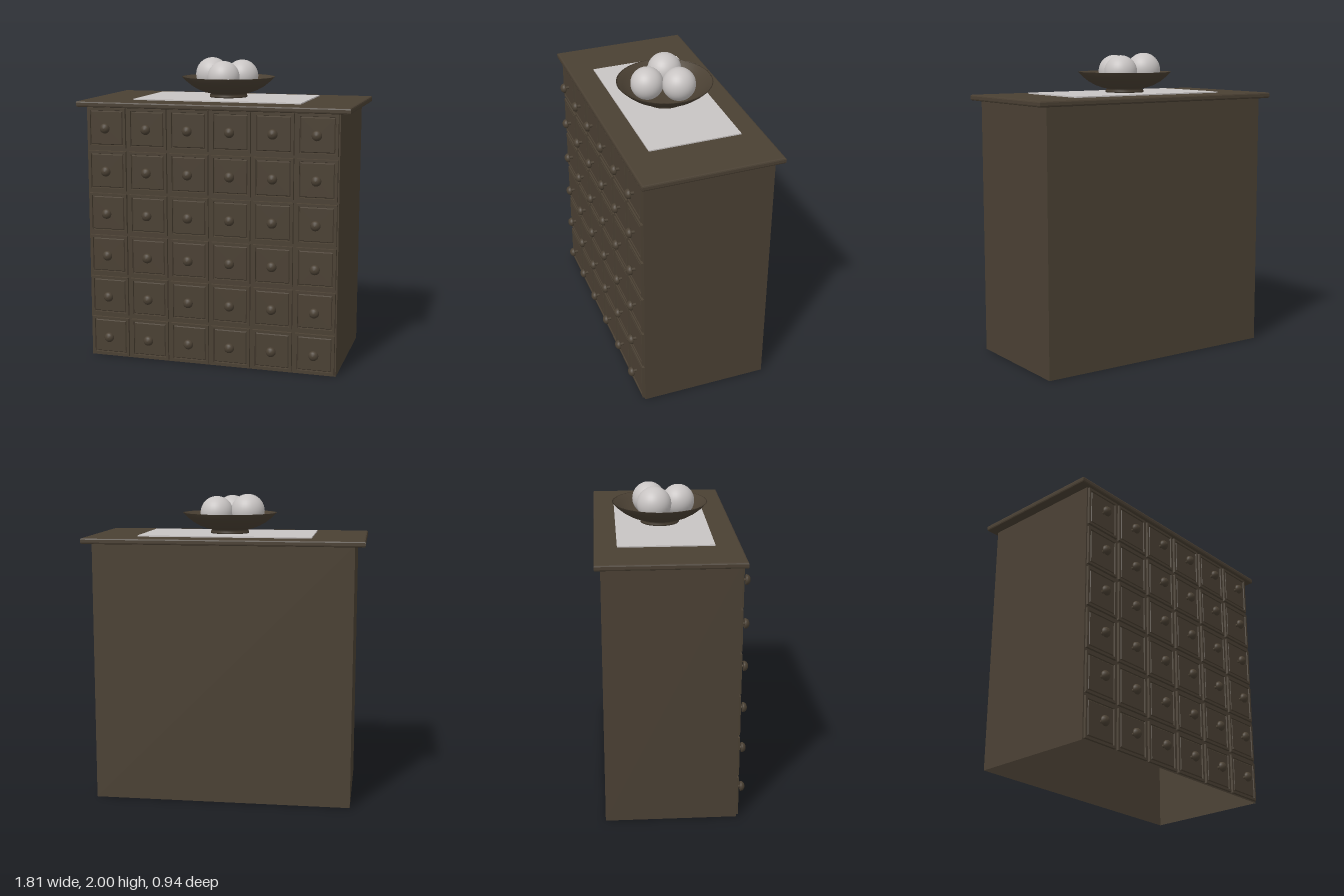
import * as THREE from 'three';

const wood = new THREE.MeshStandardMaterial({ color: 0x4a4033, side: THREE.DoubleSide });
wood.name = 'dark wood';
const white = new THREE.MeshStandardMaterial({ color: 0xc8c4c3 });
white.name = 'off white';

const W = 1.68, H = 1.7, BACK = -0.435, FRONT = 0.402, N = 6;

function add(parent, name, geometry, material, x = 0, y = 0, z = 0) {
  const mesh = new THREE.Mesh(geometry, material);
  mesh.name = name;
  mesh.position.set(x, y, z);
  parent.add(mesh);
  return mesh;
}

const points = (list) => list.map(([r, y]) => new THREE.Vector2(r, y));

// Square stepped drawer front: a four-sided lathe of [half width, z] pairs
function drawerFrontGeometry() {
  const profile = [[0.14, 0], [0.131, 0], [0.129, 0.014], [0.114, 0.014],
    [0.112, 0.005], [0.109, 0.005], [0.104, 0.012], [0, 0.012]];
  const lathe = new THREE.LatheGeometry(
    points(profile.map(([r, z]) => [r * Math.SQRT2, z])), 4, Math.PI / 4);
  lathe.rotateX(Math.PI / 2);
  lathe.scale(W / N / 0.28, H / N / 0.28, 1);
  const flat = lathe.toNonIndexed();
  flat.computeVertexNormals();
  return flat;
}

// Table top slab with softened edges
function topGeometry() {
  const bevel = 0.01, x = 0.905 - bevel, z = 0.452 - bevel;
  const shape = new THREE.Shape(points([[-x, -z], [x, -z], [x, z], [-x, z]]));
  const slab = new THREE.ExtrudeGeometry(shape, {
    depth: 0.018, bevelThickness: bevel, bevelSize: bevel, bevelSegments: 2,
  });
  return slab.rotateX(-Math.PI / 2);
}

export function createModel() {
  const model = new THREE.Group();
  model.name = 'drawerCabinet';

  // Carcass: thin walls, open underneath
  const depth = FRONT - BACK, midZ = (FRONT + BACK) / 2;
  for (const s of [-1, 1]) {
    const side = add(model, s > 0 ? 'leftWall' : 'rightWall',
      new THREE.PlaneGeometry(depth, H), wood, s * W / 2, H / 2, midZ);
    side.rotation.y = s * Math.PI / 2;
  }
  add(model, 'backWall', new THREE.PlaneGeometry(W, H), wood, 0, H / 2, BACK).rotation.y = Math.PI;
  add(model, 'top', topGeometry(), wood, 0, 1.702, -0.02);

  // Six by six drawers with round knobs
  const front = drawerFrontGeometry();
  const stem = new THREE.CylinderGeometry(0.01, 0.01, 0.03, 12).rotateX(Math.PI / 2);
  const dome = new THREE.LatheGeometry(points([[0, 0], [0.03, 0], [0.033, 0.004],
    [0.031, 0.014], [0.024, 0.024], [0.013, 0.03], [0, 0.032]]), 20).rotateX(Math.PI / 2);
  for (let row = 0; row < N; row++) {
    for (let col = 0; col < N; col++) {
      const drawer = new THREE.Group();
      drawer.name = 'drawer';
      drawer.position.set((col - 2.5) * W / N, (row + 0.5) * H / N, FRONT);
      add(drawer, 'drawerFront', front, wood);
      add(drawer, 'knobStem', stem, wood, 0, 0, 0.026);
      add(drawer, 'knob', dome, wood, 0, 0, 0.038);
      model.add(drawer);
    }
  }

  // Runner cloth
  add(model, 'cloth', new THREE.BoxGeometry(1.125, 0.008, 0.6), white, 0, 1.736, -0.03);

  // Footed bowl
  const bowl = new THREE.LatheGeometry(points([[0, 1.741], [0.126, 1.741], [0.126, 1.752],
    [0.12, 1.766], [0.15, 1.772], [0.195, 1.788], [0.24, 1.813], [0.28, 1.845], [0.311, 1.876],
    [0.302, 1.876], [0.272, 1.85], [0.232, 1.821], [0.185, 1.797], [0.13, 1.782], [0, 1.776]]), 48);
  add(model, 'bowl', bowl, wood, 0, 0, -0.037);

  // Three balls in the bowl
  for (const [x, y, z, r] of [[-0.125, 1.889, -0.08, 0.111],
    [0.077, 1.878, -0.105, 0.108], [0, 1.879, 0.083, 0.106]]) {
    add(model, 'ball', new THREE.SphereGeometry(r, 32, 20), white, x, y, z);
  }
  return model;
}
